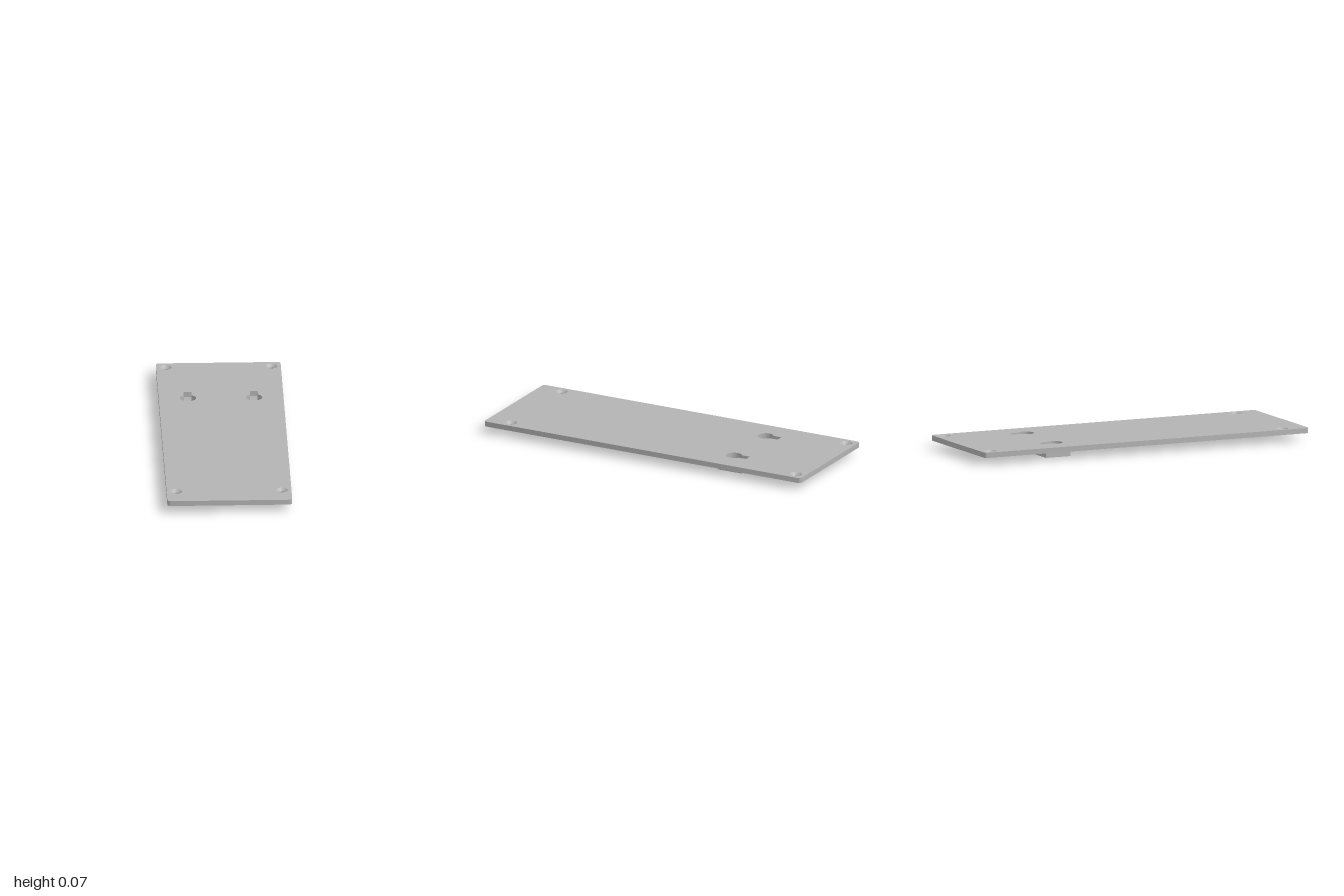
import * as THREE from 'three';
import { mergeGeometries, toCreasedNormals } from 'three/addons/utils/BufferGeometryUtils.js';

// Plan loops hold (x, v) with v = -z; counter-clockwise loops give outward walls.
const V = (x, v) => new THREE.Vector2(x, v);
const reversed = loop => [...loop].reverse();

function arc(cx, cv, r, a0, a1, n) {
  return Array.from({ length: n + 1 }, (_, i) => {
    const a = a0 + (a1 - a0) * i / n;
    return V(cx + r * Math.cos(a), cv + r * Math.sin(a));
  });
}
const circle = (cx, cv, r, n = 32) => arc(cx, cv, r, 0, Math.PI * 2, n).slice(0, -1);
const rect = (x0, x1, v0, v1) => [V(x0, v0), V(x1, v0), V(x1, v1), V(x0, v1)];

// Ruled wall between two matching loops at heights y0 and y1
function wall(low, y0, high, y1) {
  const pos = [];
  low.forEach((a, i) => {
    const j = (i + 1) % low.length, b = low[j], c = high[j], d = high[i];
    pos.push(a.x, y0, -a.y, b.x, y0, -b.y, c.x, y1, -c.y);
    pos.push(a.x, y0, -a.y, c.x, y1, -c.y, d.x, y1, -d.y);
  });
  const g = new THREE.BufferGeometry();
  g.setAttribute('position', new THREE.Float32BufferAttribute(pos, 3));
  return toCreasedNormals(g, 0.6);
}

// Flat face with holes, looking up or down
function cap(outline, holes, y, up) {
  const shape = new THREE.Shape(outline);
  holes.forEach(h => shape.holes.push(new THREE.Path(h)));
  let g = new THREE.ShapeGeometry(shape);
  if (!up) g.setIndex(Array.from(g.index.array).reverse());
  g = g.toNonIndexed();
  g.deleteAttribute('uv');
  g.rotateX(-Math.PI / 2).translate(0, y, 0);
  g.computeVertexNormals();
  return g;
}

export function createModel() {
  const model = new THREE.Group();
  const grey = new THREE.MeshStandardMaterial({ color: 0xb3b3b3 });
  grey.name = 'grey';
  const add = (name, parts) => {
    const mesh = new THREE.Mesh(mergeGeometries(parts), grey);
    mesh.name = name;
    model.add(mesh);
  };

  const bottom = 0.042, top = 0.071, floor = 0.015;
  const keyX = 0.184, keyV = 0.492, keyR = 0.045, slot = 0.022;
  const padHalf = 0.071, padFront = 0.43, padBack = 0.58;

  // Keyhole: round opening with a straight slot towards the back
  const a = Math.acos(slot / keyR);
  const keyArc = x => arc(x, keyV, keyR, Math.PI - a, Math.PI * 2 + a, 32);
  const keyhole = x => [...keyArc(x), V(x + slot, padBack), V(x - slot, padBack)];
  const padRect = x => rect(x - padHalf, x + padHalf, padFront, padBack);

  // Rounded plate outline
  const r = 0.018, hx = 0.347 - r, hv = 1 - r, q = Math.PI / 2;
  const outline = [[hx, hv], [-hx, hv], [-hx, -hv], [hx, -hv]]
    .flatMap(([x, v], i) => arc(x, v, r, i * q, (i + 1) * q, 6));

  // Plate with countersunk screw holes and keyholes
  const screws = [];
  for (const x of [-0.294, 0.294]) for (const v of [0.942, -0.857]) screws.push([x, v]);
  const wide = screws.map(([x, v]) => circle(x, v, 0.034));
  const narrow = screws.map(([x, v]) => circle(x, v, 0.018));
  const sides = [-keyX, keyX];
  add('plate', [
    cap(outline, [...wide, ...sides.map(keyhole)], top, true),
    cap(outline, [...narrow, ...sides.map(padRect)], bottom, false),
    wall(outline, bottom, outline, top),
    ...sides.map(x => wall(reversed(keyhole(x)), bottom, reversed(keyhole(x)), top)),
  ]);
  add('countersunkHoles', narrow.flatMap((n, i) => {
    const low = reversed(n), high = reversed(wide[i]);
    return [wall(low, bottom, low, 0.055), wall(low, 0.055, high, top)];
  }));

  // Pads below the keyholes, each with a floored slot open at the back
  for (const x of sides) {
    const outer = padRect(x), bore = circle(x, keyV, keyR, 40);
    const channel = [
      V(x - slot, padBack), V(x - padHalf, padBack), V(x - padHalf, padFront),
      V(x + padHalf, padFront), V(x + padHalf, padBack), V(x + slot, padBack),
      ...reversed(keyArc(x)),
    ];
    const slotFloor = [
      ...reversed(arc(x, keyV, keyR, a, Math.PI - a, 10)),
      V(x + slot, padBack), V(x - slot, padBack),
    ];
    add(x > 0 ? 'leftKeyholePad' : 'rightKeyholePad', [
      cap(outer, [bore], 0, false),
      wall(outer, 0, outer, floor),
      wall(reversed(bore), 0, reversed(bore), floor),
      wall(channel, floor, channel, bottom),
      cap(slotFloor, [], floor, true),
    ]);
  }
  return model;
}
